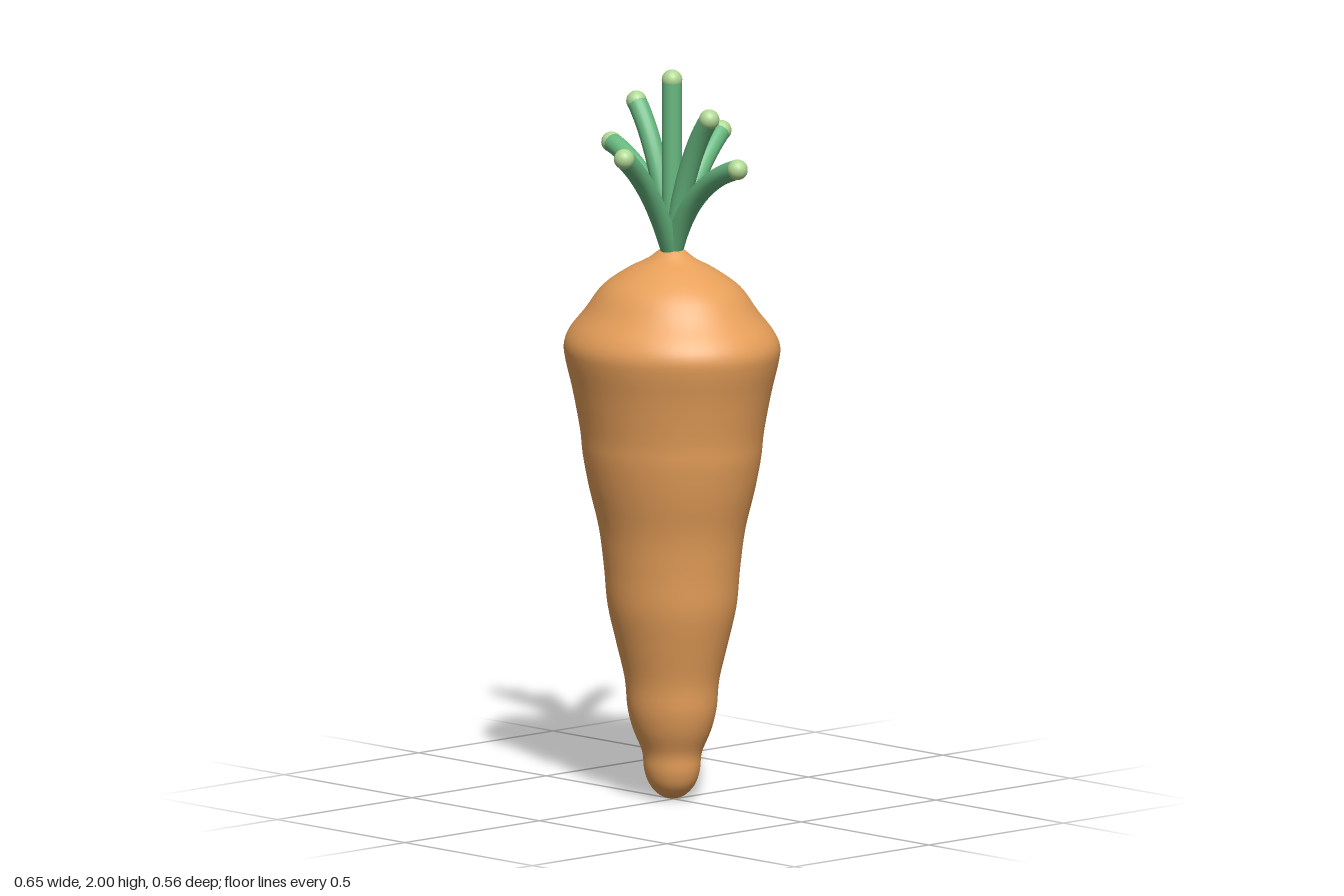
import * as THREE from 'three';

const CENTRE_X = -0.007;

const material = (color) => new THREE.MeshStandardMaterial({ color });

function addMesh(parent, name, geometry, mat) {
  const mesh = new THREE.Mesh(geometry, mat);
  mesh.name = name;
  parent.add(mesh);
  return mesh;
}

export function createModel() {
  const model = new THREE.Group();
  model.name = 'carrot';
  const orange = material(0xe8a05a);
  const green = material(0x67b880);
  const paleGreen = material(0xb0d894);

  // Root: a gently rippled profile, slightly flattened front to back
  const profile = [
    [0, 0], [0.035, 0.01], [0.065, 0.04], [0.08, 0.08], [0.086, 0.13],
    [0.112, 0.19], [0.128, 0.25], [0.136, 0.33], [0.161, 0.43], [0.185, 0.53],
    [0.195, 0.63], [0.21, 0.74], [0.238, 0.85], [0.256, 0.94], [0.264, 1.01],
    [0.286, 1.12], [0.306, 1.2], [0.31, 1.245], [0.292, 1.285], [0.25, 1.335],
    [0.2, 1.4], [0.13, 1.448], [0.07, 1.478], [0.03, 1.506], [0, 1.508],
  ].map(([r, y]) => new THREE.Vector2(r, y));
  const points = new THREE.SplineCurve(profile).getPoints(96);
  points.forEach((p) => { p.x = Math.max(p.x, 0); });
  const root = addMesh(model, 'root', new THREE.LatheGeometry(points, 40), orange);
  root.scale.z = 0.885;
  root.position.x = CENTRE_X;

  // Stems: each has a bend point and a tip, and fans out from the crown
  const stems = [
    ['centre', [CENTRE_X, 1.73, 0], [CENTRE_X, 1.968, 0]],
    ['outerRight', [-0.086, 1.705, -0.01], [-0.3, 1.755, -0.053]],
    ['innerRight', [-0.056, 1.77, 0], [-0.16, 1.89, -0.013]],
    ['innerLeft', [0.045, 1.76, 0], [0.15, 1.88, 0.011]],
    ['outerLeft', [0.075, 1.705, 0.01], [0.295, 1.765, 0.043]],
    ['front', [0.02, 1.695, 0.1], [0.069, 1.79, 0.25]],
    ['back', [-0.036, 1.695, -0.1], [-0.083, 1.79, -0.255]],
  ];
  const tipGeometry = new THREE.SphereGeometry(0.028, 20, 14);
  for (const [name, bend, tip] of stems) {
    const curve = new THREE.QuadraticBezierCurve3(
      new THREE.Vector3(CENTRE_X, 1.49, 0),
      new THREE.Vector3(...bend),
      new THREE.Vector3(...tip),
    );
    const stem = new THREE.Group();
    stem.name = `${name}Stem`;
    addMesh(stem, 'stalk', new THREE.TubeGeometry(curve, 20, 0.027, 16), green);
    addMesh(stem, 'tip', tipGeometry, paleGreen).position.set(...tip);
    model.add(stem);
  }
  return model;
}
